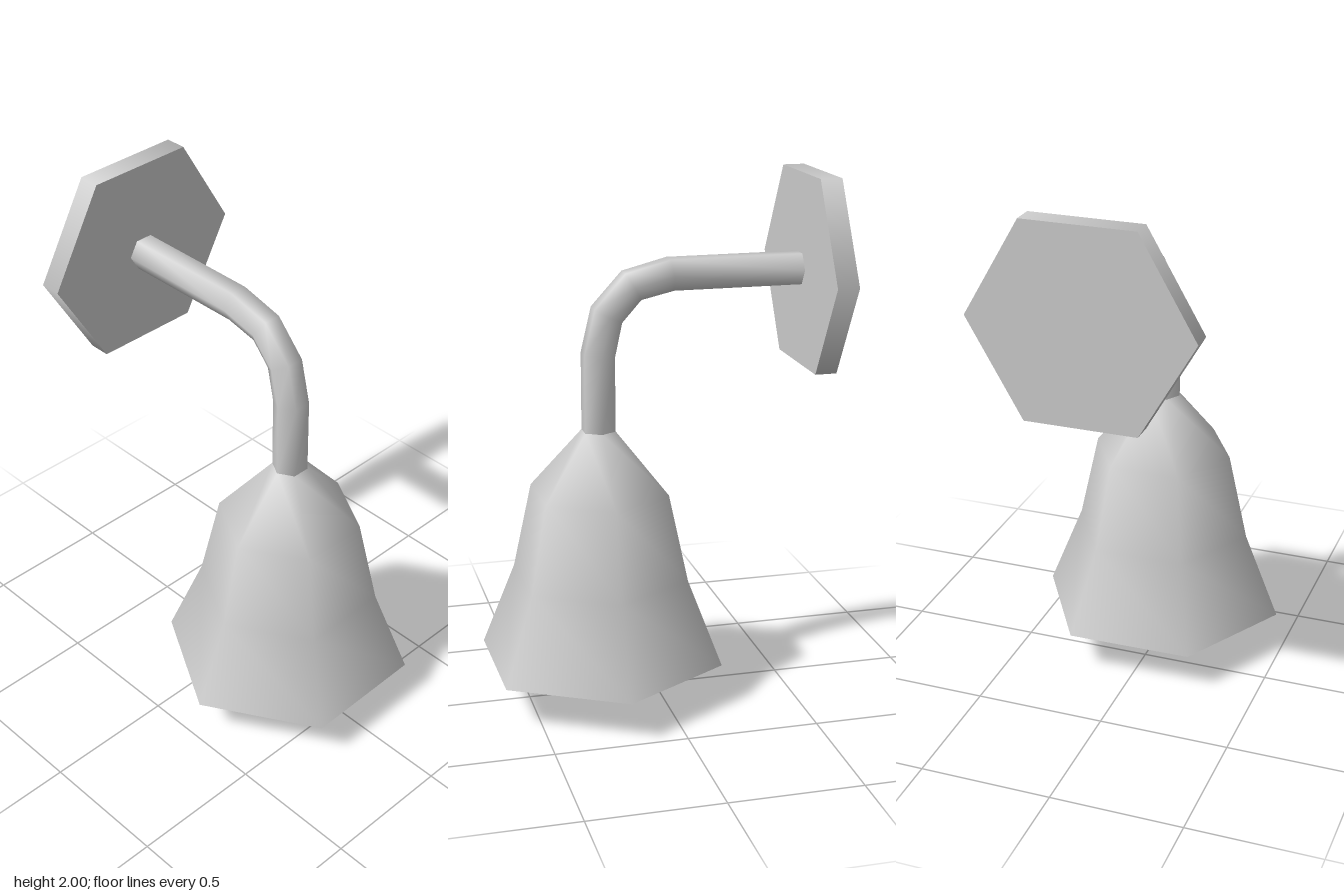
import * as THREE from 'three';

const SIDES = 6;
const AXIS_X = 0.217;
const MID_Z = -0.004;

export function createModel() {
  const group = new THREE.Group();
  const material = new THREE.MeshStandardMaterial({ color: 0xcccccc });
  const openMaterial = new THREE.MeshStandardMaterial({ color: 0xcccccc, side: THREE.DoubleSide });

  const add = (name, geometry, x, y, z, mat = material) => {
    const mesh = new THREE.Mesh(geometry, mat);
    mesh.name = name;
    mesh.position.set(x, y, z);
    group.add(mesh);
    return mesh;
  };
  const lathe = (profile) =>
    new THREE.LatheGeometry(profile.map(([r, y]) => new THREE.Vector2(r, y)), SIDES);

  // Hexagonal wall plate
  const plate = new THREE.CylinderGeometry(0.418, 0.418, 0.083, SIDES).rotateZ(Math.PI / 2);
  add('wallPlate', plate, -0.603, 1.638, MID_Z);

  // Six-sided arm, bending from the plate down to the bell
  const path = [[-0.57, 1.641], [-0.06, 1.641], [0.088, 1.605], [0.183, 1.5], [AXIS_X, 1.35], [AXIS_X, 1.05]];
  add('arm', sweep(path, 0.067), 0, 0, MID_Z, openMaterial);

  // Open flared bell
  const bell = lathe([[0.483, 0.157], [0.348, 0.49], [0.273, 0.825], [0.067, 1.06]]);
  add('bell', bell, AXIS_X, 0, MID_Z, openMaterial).rotation.y = 0.016;

  // Clapper: rod hanging inside the bell with a faceted ball at its end
  add('clapperRod', new THREE.CylinderGeometry(0.036, 0.036, 0.93, SIDES), AXIS_X, 0.585, 0.004);
  const ball = lathe([[0, 0], [0.04, 0], [0.077, 0.05], [0.077, 0.1], [0.04, 0.14], [0, 0.14]]);
  add('clapperBall', ball, AXIS_X, 0, 0.004);

  return group;
}

// Sweeps a regular ring along a path in the xy plane, mitred at each bend
function sweep(path, radius) {
  const points = path.map(([x, y]) => new THREE.Vector2(x, y));
  const positions = [];
  const index = [];
  points.forEach((p, i) => {
    const before = p.clone().sub(points[Math.max(i - 1, 0)]).normalize();
    const after = points[Math.min(i + 1, points.length - 1)].clone().sub(p).normalize();
    const tangent = before.add(after).normalize();
    for (let k = 0; k < SIDES; k++) {
      const a = (k / SIDES) * Math.PI * 2;
      const s = Math.sin(a) * radius;
      positions.push(p.x - tangent.y * s, p.y + tangent.x * s, Math.cos(a) * radius);
      if (i === 0) continue;
      const n = (k + 1) % SIDES;
      const lo = (i - 1) * SIDES;
      const hi = i * SIDES;
      index.push(lo + k, hi + k, lo + n, hi + k, hi + n, lo + n);
    }
  });
  const geometry = new THREE.BufferGeometry();
  geometry.setAttribute('position', new THREE.Float32BufferAttribute(positions, 3));
  geometry.setIndex(index);
  geometry.computeVertexNormals();
  return geometry;
}
